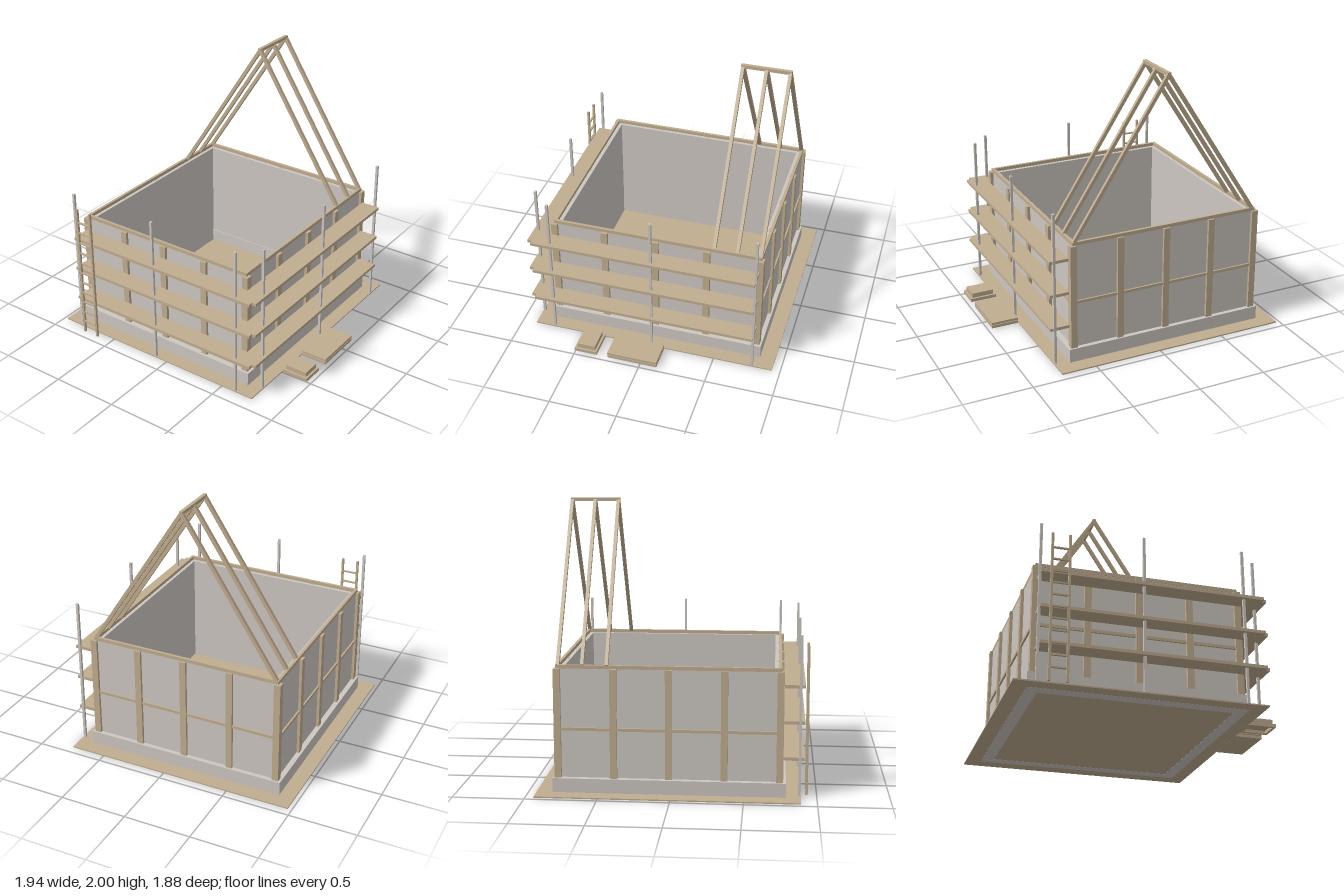
import * as THREE from 'three';

export function createModel() {
  const root = new THREE.Group();
  root.name = 'houseConstructionSite';
  const timber = new THREE.MeshStandardMaterial({ name: 'timber', color: 0xc0ad8f });
  const concrete = new THREE.MeshStandardMaterial({ name: 'concreteGrey', color: 0xcdc7c1 });

  const group = (name) => {
    const g = new THREE.Group();
    g.name = name;
    root.add(g);
    return g;
  };
  // Box given by its minimum and maximum on each axis
  const box = (parent, name, mat, x0, x1, y0, y1, z0, z1) => {
    const m = new THREE.Mesh(new THREE.BoxGeometry(x1 - x0, y1 - y0, z1 - z0), mat);
    m.position.set((x0 + x1) / 2, (y0 + y1) / 2, (z0 + z1) / 2);
    m.name = name;
    parent.add(m);
  };
  // Upright rectangular ring with wall thickness t, extruded from y0 to y1
  const ring = (parent, name, mat, x0, x1, z0, z1, t, y0, y1) => {
    const rect = (s, a, b, c, d) => s.moveTo(a, -d).lineTo(b, -d).lineTo(b, -c).lineTo(a, -c).closePath();
    const shape = rect(new THREE.Shape(), x0, x1, z0, z1);
    shape.holes.push(rect(new THREE.Path(), x0 + t, x1 - t, z0 + t, z1 - t));
    const geo = new THREE.ExtrudeGeometry(shape, { depth: y1 - y0, bevelEnabled: false });
    geo.rotateX(-Math.PI / 2).translate(0, y0, 0);
    const m = new THREE.Mesh(geo, mat);
    m.name = name;
    parent.add(m);
  };

  // Ground board, footing and walls
  box(root, 'groundBoard', timber, -0.97, 0.76, 0.001, 0.01, -0.94, 0.89);
  ring(root, 'foundation', concrete, -0.86, 0.655, -0.828, 0.787, 0.083, 0, 0.11);
  ring(root, 'walls', concrete, -0.821, 0.614, -0.796, 0.746, 0.044, 0.11, 0.88);

  // Timber frame: top plate, middle rail and posts on all four sides
  const frame = group('timberFrame');
  ring(frame, 'topPlate', timber, -0.822, 0.615, -0.8, 0.75, 0.021, 0.88, 0.905);
  ring(frame, 'middleRail', timber, -0.834, 0.627, -0.808, 0.759, 0.02, 0.445, 0.466);
  const post = (x, z) =>
    box(frame, 'wallPost', timber, x - 0.024, x + 0.024, 0.11, 0.881, z - 0.024, z + 0.024);
  for (const x of [-0.818, -0.46, -0.102, 0.256, 0.612]) for (const z of [-0.791, 0.744]) post(x, z);
  for (const z of [-0.402, -0.02, 0.363]) for (const x of [-0.818, 0.612]) post(x, z);

  // Three rafter pairs under a ridge beam
  const roof = group('roofFrame');
  const apex = new THREE.Vector2(-0.102, 1.985);
  for (const z of [-0.449, -0.618, -0.786]) {
    for (const footX of [-0.803, 0.599]) {
      const foot = new THREE.Vector2(footX, 0.9);
      const d = apex.clone().sub(foot);
      const rafter = new THREE.Mesh(new THREE.BoxGeometry(0.026, d.length(), 0.024), timber);
      rafter.position.set((apex.x + foot.x) / 2, (apex.y + foot.y) / 2, z);
      rafter.rotation.z = -Math.atan2(d.x, d.y);
      rafter.name = 'rafter';
      roof.add(rafter);
    }
  }
  box(roof, 'ridgeBeam', timber, -0.115, -0.089, 1.976, 2, -0.797, -0.436);

  // Scaffolding along the front and the left side
  const scaffold = group('scaffolding');
  for (const y of [0.261, 0.516, 0.768]) {
    box(scaffold, 'frontDeck', timber, -0.815, 0.75, y, y + 0.022, 0.769, 0.912);
    box(scaffold, 'sideDeck', timber, 0.637, 0.78, y, y + 0.022, -0.787, 0.877);
  }
  const poles = [[-0.818, 0.88], [-0.102, 0.88], [0.612, 0.88], [0.747, 0.742], [0.747, -0.022], [0.747, -0.787]];
  for (const [x, z] of poles)
    box(scaffold, 'pole', concrete, x - 0.009, x + 0.009, 0.005, 1.135, z - 0.009, z + 0.009);

  // Ladder standing against the decks
  const ladder = group('ladder');
  for (const x of [-0.75, -0.63])
    box(ladder, 'ladderRail', timber, x - 0.008, x + 0.008, 0.002, 1.05, 0.922, 0.939);
  for (let i = 0; i < 11; i++) {
    const y = 0.095 + i * 0.085;
    box(ladder, 'rung', timber, -0.75, -0.63, y - 0.005, y + 0.005, 0.923, 0.938);
  }

  // Stacked boards and a small open-bottomed crate beside the house
  const supplies = group('buildingSupplies');
  box(supplies, 'lowerBoard', timber, 0.765, 0.968, 0.005, 0.026, -0.125, 0.25);
  box(supplies, 'upperBoard', timber, 0.765, 0.968, 0.03, 0.048, -0.125, 0.25);
  box(supplies, 'boardSpacer', timber, 0.78, 0.95, 0.026, 0.03, -0.11, 0.235);
  ring(supplies, 'crateBase', timber, 0.765, 0.968, 0.335, 0.505, 0.018, 0.005, 0.03);
  box(supplies, 'crateTop', timber, 0.782, 0.951, 0.028, 0.065, 0.352, 0.488);

  return root;
}
